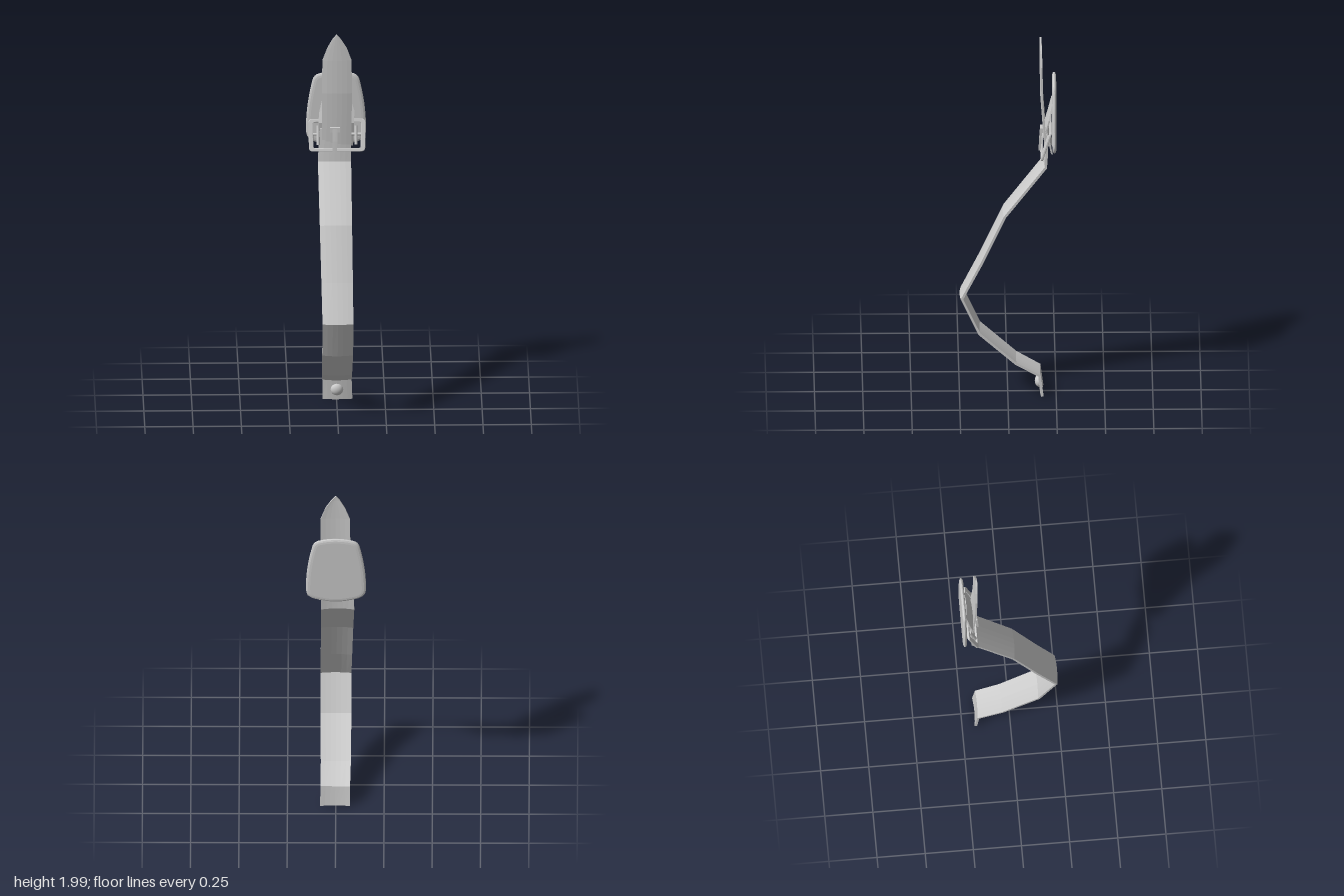
import * as THREE from 'three';

const grey = new THREE.MeshStandardMaterial({ color: 0xcccccc, side: THREE.DoubleSide });
const flat = new THREE.MeshStandardMaterial({ color: 0xcccccc, flatShading: true, side: THREE.DoubleSide });

function add(parent, name, geometry, material = grey) {
  const mesh = new THREE.Mesh(geometry, material);
  mesh.name = name;
  parent.add(mesh);
  return mesh;
}

// Sweeps a slightly bowed band through rows of [y, z, left x, right x]
function band(rows, thickness, bow = 0.006, columns = 6) {
  const pos = [], index = [], ring = 2 * (columns + 1);
  rows.forEach(([y, z, x0, x1], i) => {
    const a = rows[Math.max(i - 1, 0)], b = rows[Math.min(i + 1, rows.length - 1)];
    const n = new THREE.Vector2(a[1] - b[1], b[0] - a[0]).normalize();
    const width = Math.abs(x1 - x0) / 0.16;
    for (let k = 0; k < ring; k++) {
      const front = k <= columns;
      const u = (front ? k : ring - 1 - k) / columns;
      const off = (front ? 0.5 : -0.5) * thickness + bow * width * (0.5 - (2 * u - 1) ** 2);
      pos.push(x0 + (x1 - x0) * u, y + n.x * off, z + n.y * off);
    }
  });
  for (let i = 0; i < rows.length - 1; i++) {
    for (let k = 0; k < ring; k++) {
      const a = i * ring + k, b = i * ring + (k + 1) % ring;
      index.push(a, b, b + ring, a, b + ring, a + ring);
    }
  }
  const top = (rows.length - 1) * ring;
  for (let k = 0; k < columns; k++) {
    const a = k, b = k + 1, c = ring - 2 - k, d = ring - 1 - k;
    index.push(a, c, b, a, d, c, top + a, top + b, top + c, top + a, top + c, top + d);
  }
  const g = new THREE.BufferGeometry();
  g.setAttribute('position', new THREE.Float32BufferAttribute(pos, 3));
  g.setIndex(index);
  g.computeVertexNormals();
  return g;
}

// Rounded outline, wider or narrower at the top
function roundedTrapezoid(Type, bottom, top, y0, y1, r) {
  const s = new Type();
  s.moveTo(-bottom + r, y0);
  s.lineTo(bottom - r, y0);
  s.quadraticCurveTo(bottom, y0, bottom, y0 + r);
  s.lineTo(top, y1 - r);
  s.quadraticCurveTo(top, y1, top - r, y1);
  s.lineTo(-top + r, y1);
  s.quadraticCurveTo(-top, y1, -top, y1 - r);
  s.lineTo(-bottom, y0 + r);
  s.quadraticCurveTo(-bottom, y0, -bottom + r, y0);
  return s;
}

export function createModel() {
  const model = new THREE.Group();
  model.name = 'buckledStrap';

  // Long bent strap
  add(model, 'strap', band([
    [0.008, -0.176, -0.073, 0.082], [0.12, -0.163, -0.074, 0.078],
    [0.19, -0.04, -0.078, 0.078], [0.36, 0.15, -0.08, 0.08],
    [0.558, 0.24, -0.08, 0.08], [0.75, 0.143, -0.084, 0.079],
    [1.02, 0.018, -0.09, 0.077], [1.298, -0.194, -0.096, 0.076],
    [1.37, -0.198, -0.093, 0.076], [1.48, -0.197, -0.085, 0.078],
  ], 0.013), flat);

  // Pointed free end, threaded through the buckle
  add(model, 'strapTip', band([
    [1.38, -0.197, -0.076, 0.076], [1.5, -0.188, -0.076, 0.078],
    [1.68, -0.175, -0.076, 0.08], [1.86, -0.172, -0.073, 0.078],
    [1.93, -0.171, -0.047, 0.052], [1.975, -0.17, -0.022, 0.024],
    [2.0, -0.17, -0.002, 0.002],
  ], 0.009), flat);

  // Folded keeper behind the buckle
  add(model, 'keeperLoop', band([
    [1.375, -0.226, -0.085, 0.085], [1.44, -0.212, -0.094, 0.09],
    [1.51, -0.196, -0.094, 0.09], [1.57, -0.212, -0.088, 0.094],
    [1.64, -0.228, -0.07, 0.07],
  ], 0.008), flat);

  // Buckle: tilted frame, side posts, cross bar and prong
  const buckle = new THREE.Group();
  buckle.name = 'buckle';
  buckle.position.set(0.003, 1.362, -0.17);
  buckle.rotation.x = -0.3;
  const frame = roundedTrapezoid(THREE.Shape, 0.146, 0.148, 0, 0.17, 0.022);
  frame.holes.push(roundedTrapezoid(THREE.Path, 0.122, 0.124, 0.018, 0.152, 0.01));
  add(buckle, 'buckleFrame', new THREE.ExtrudeGeometry(frame, {
    depth: 0.006, bevelThickness: 0.003, bevelSize: 0.003, bevelOffset: -0.003, bevelSegments: 2, curveSegments: 5,
  })).position.z = -0.006;
  for (const side of [-1, 1]) {
    const post = add(buckle, 'sidePost', new THREE.CylinderGeometry(0.009, 0.009, 0.1, 10));
    post.position.set(side * 0.098, 0.085, -0.004);
  }
  const bar = add(buckle, 'crossBar', new THREE.CylinderGeometry(0.007, 0.007, 0.25, 10));
  bar.rotation.z = Math.PI / 2;
  bar.position.set(0, 0.09, -0.01);
  model.add(buckle);

  const prong = new THREE.Group();
  prong.name = 'prong';
  add(prong, 'prongPin', band([
    [1.363, -0.166, -0.022, 0.002], [1.42, -0.168, -0.022, 0.004], [1.485, -0.173, -0.022, 0.006],
  ], 0.012, 0.002), flat);
  const head = add(prong, 'prongHead', new THREE.BoxGeometry(0.052, 0.026, 0.022));
  head.position.set(-0.008, 1.48, -0.178);
  model.add(prong);

  // Backing pad with softly tapered rim
  const outline = new THREE.Shape();
  outline.moveTo(-0.075, 1.385);
  outline.quadraticCurveTo(0, 1.365, 0.075, 1.385);
  outline.bezierCurveTo(0.13, 1.395, 0.154, 1.41, 0.154, 1.46);
  outline.bezierCurveTo(0.154, 1.57, 0.14, 1.65, 0.122, 1.725);
  outline.quadraticCurveTo(0.115, 1.76, 0.085, 1.767);
  outline.quadraticCurveTo(0, 1.79, -0.085, 1.767);
  outline.quadraticCurveTo(-0.118, 1.76, -0.125, 1.725);
  outline.bezierCurveTo(-0.142, 1.65, -0.157, 1.57, -0.157, 1.46);
  outline.bezierCurveTo(-0.157, 1.41, -0.13, 1.395, -0.075, 1.385);
  add(model, 'backPad', new THREE.ExtrudeGeometry(outline, {
    depth: 0.003, bevelThickness: 0.009, bevelSize: 0.022, bevelOffset: -0.022, bevelSegments: 3, curveSegments: 10,
  })).position.z = -0.242;

  // Domed rivet at the foot of the strap
  const rivet = add(model, 'rivet', new THREE.SphereGeometry(0.033, 20, 8, 0, Math.PI * 2, 0, Math.PI / 2));
  rivet.scale.y = 0.7;
  rivet.rotation.x = Math.PI / 2 + 0.11;
  rivet.position.set(0.002, 0.063, -0.163);

  return model;
}
